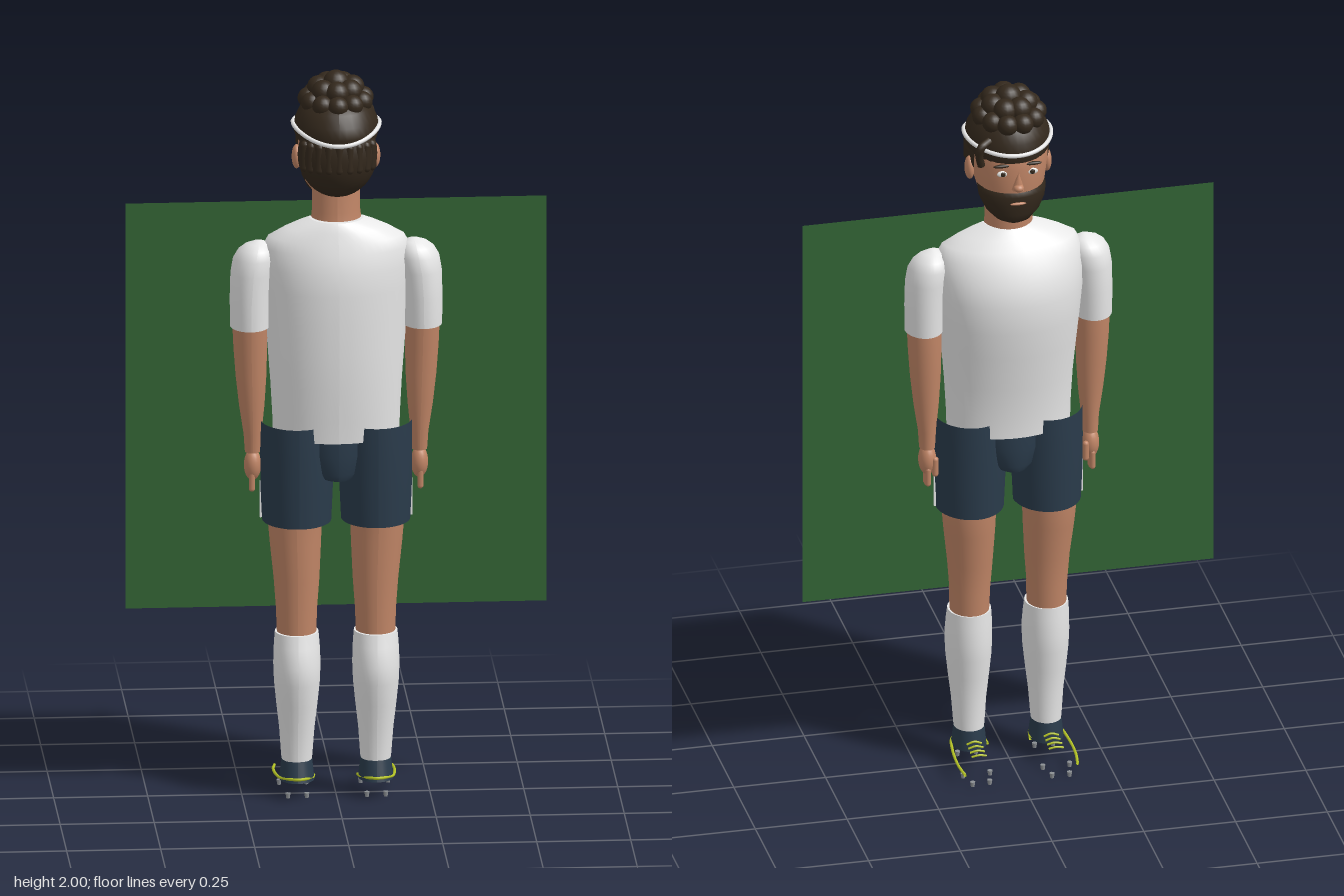
import * as THREE from 'three';

const mat = (name, color, side = THREE.FrontSide) => {
  const m = new THREE.MeshStandardMaterial({ color, side });
  m.name = name;
  return m;
};
const M = {
  skin: mat('skin', 0xc08566),
  hair: mat('dark hair', 0x33281c),
  cloth: mat('white cloth', 0xececec, THREE.DoubleSide),
  navy: mat('navy cloth', 0x2a3b4b, THREE.DoubleSide),
  lime: mat('lime trim', 0xb4c326, THREE.DoubleSide),
  metal: mat('grey studs', 0x8c9094),
  board: mat('green panel', 0x336535, THREE.DoubleSide),
  eye: mat('eye white', 0xf4f4f0),
};

function add(parent, name, geo, material, x = 0, y = 0, z = 0) {
  const m = new THREE.Mesh(geo, material);
  m.name = name;
  m.position.set(x, y, z);
  parent.add(m);
  return m;
}

// Elliptical loft through rings [y, cx, cz, rx, rz], listed bottom to top
function loft(rings, caps = true, seg = 36) {
  const pos = [], idx = [];
  for (const [y, cx, cz, rx, rz] of rings)
    for (let i = 0; i <= seg; i++) {
      const a = (i / seg) * Math.PI * 2;
      pos.push(cx + Math.sin(a) * rx, y, cz + Math.cos(a) * rz);
    }
  const row = seg + 1;
  for (let r = 0; r < rings.length - 1; r++)
    for (let i = 0; i < seg; i++) {
      const a = r * row + i, b = a + row;
      idx.push(a, a + 1, b, a + 1, b + 1, b);
    }
  if (caps)
    for (const top of [false, true]) {
      const [y, cx, cz, rx, rz] = rings[top ? rings.length - 1 : 0];
      const c = pos.length / 3;
      pos.push(cx, y, cz);
      for (let i = 0; i <= seg; i++) {
        const a = (i / seg) * Math.PI * 2;
        pos.push(cx + Math.sin(a) * rx, y, cz + Math.cos(a) * rz);
      }
      for (let i = 1; i <= seg; i++) top ? idx.push(c, c + i, c + i + 1) : idx.push(c, c + i + 1, c + i);
    }
  const g = new THREE.BufferGeometry();
  g.setAttribute('position', new THREE.Float32BufferAttribute(pos, 3));
  g.setIndex(idx);
  g.computeVertexNormals();
  return g;
}

const ball = (rx, ry = rx, rz = rx, n = 20) => new THREE.SphereGeometry(1, n, Math.ceil(n * 0.7)).scale(rx, ry, rz);
const tube = (pts, r, closed = false, n = 40) =>
  new THREE.TubeGeometry(new THREE.CatmullRomCurve3(pts.map(p => new THREE.Vector3(...p)), closed), n, r, 8, closed);

// Arm on side s (+1 or -1)
function arm(s) {
  const g = new THREE.Group();
  g.name = s > 0 ? 'leftArm' : 'rightArm';
  add(g, 'sleeve', loft([
    [1.3, s * 0.23, 0.015, 0.052, 0.066], [1.38, s * 0.229, 0.015, 0.054, 0.07],
    [1.45, s * 0.224, 0.014, 0.057, 0.072], [1.49, s * 0.217, 0.013, 0.057, 0.069],
    [1.515, s * 0.212, 0.013, 0.047, 0.057], [1.53, s * 0.208, 0.013, 0.03, 0.036],
    [1.537, s * 0.206, 0.013, 0.005, 0.006]]), M.cloth);
  add(g, 'forearm', loft([
    [0.95, s * 0.222, 0.006, 0.021, 0.025], [1.0, s * 0.222, 0.008, 0.024, 0.029],
    [1.08, s * 0.224, 0.01, 0.034, 0.038], [1.16, s * 0.226, 0.01, 0.041, 0.044],
    [1.24, s * 0.228, 0.01, 0.045, 0.05], [1.31, s * 0.229, 0.012, 0.047, 0.054]]), M.skin);
  add(g, 'palm', ball(0.024, 0.045, 0.03), M.skin, s * 0.222, 0.915, 0.005);
  for (let i = 0; i < 4; i++)
    add(g, 'finger', new THREE.CapsuleGeometry(0.008, 0.04, 4, 8), M.skin, s * 0.224, 0.865 + Math.abs(i - 1.5) * 0.004, -0.016 + i * 0.013);
  add(g, 'thumb', new THREE.CapsuleGeometry(0.009, 0.04, 4, 8), M.skin, s * 0.205, 0.9, -0.018);
  return g;
}

// Leg with shorts, sock and boot on side s
function leg(s) {
  const g = new THREE.Group();
  g.name = s > 0 ? 'leftLeg' : 'rightLeg';
  const x = s * 0.105;
  add(g, 'shortsLeg', loft([
    [0.765, x, 0.018, 0.092, 0.107], [0.85, x, 0.018, 0.096, 0.109],
    [0.95, x, 0.018, 0.097, 0.112], [1.04, x, 0.018, 0.096, 0.112]], false), M.navy);
  add(g, 'sideStripe', new THREE.BoxGeometry(0.006, 0.1, 0.012), M.cloth, s * 0.2, 0.82, 0.012);
  add(g, 'thigh', loft([
    [0.44, x, 0.014, 0.052, 0.058], [0.52, x, 0.012, 0.055, 0.06], [0.6, x, 0.01, 0.061, 0.066],
    [0.7, s * 0.108, 0.003, 0.069, 0.076], [0.78, s * 0.11, 0.0, 0.074, 0.083],
    [0.92, x, 0.005, 0.078, 0.088]]), M.skin);
  add(g, 'sock', loft([
    [0.05, x, 0.02, 0.036, 0.042], [0.12, x, 0.02, 0.042, 0.045], [0.19, x, 0.023, 0.047, 0.051],
    [0.26, x, 0.025, 0.055, 0.062], [0.32, x, 0.026, 0.061, 0.073], [0.37, x, 0.026, 0.063, 0.077],
    [0.42, x, 0.02, 0.061, 0.069], [0.455, x, 0.016, 0.058, 0.064]]), M.cloth);
  add(g, 'bootCollar', loft([
    [0.048, x, 0.022, 0.047, 0.057], [0.075, x, 0.02, 0.044, 0.052], [0.105, x, 0.018, 0.041, 0.046]], false), M.navy);
  // Lime edge wraps the heel and runs forward on the outside
  add(g, 'bootTrim', tube([
    [s * 0.153, 0.037, -0.145], [s * 0.16, 0.042, -0.09], [s * 0.157, 0.049, -0.01], [s * 0.145, 0.055, 0.045],
    [s * 0.105, 0.061, 0.084], [s * 0.067, 0.055, 0.045], [s * 0.058, 0.05, 0.0]], 0.004), M.lime);
  for (let i = 0; i < 4; i++)
    add(g, 'lace', tube([[s * 0.085, 0.075 - i * 0.003, -0.042 - i * 0.019], [x, 0.083 - i * 0.004, -0.045 - i * 0.019],
      [s * 0.125, 0.075 - i * 0.003, -0.042 - i * 0.019]], 0.003, false, 8), M.lime);
  for (const [sx, sz] of [[0.08, 0.045], [0.13, 0.045], [0.072, -0.085], [0.145, -0.085], [0.085, -0.138], [0.132, -0.14]])
    add(g, 'stud', new THREE.CylinderGeometry(0.007, 0.005, 0.014, 10), M.metal, s * sx, 0.007, sz);
  return g;
}

function head() {
  const g = new THREE.Group();
  g.name = 'head';
  add(g, 'neck', loft([[1.57, 0, 0.02, 0.07, 0.066], [1.62, 0, 0.012, 0.064, 0.062], [1.72, 0, 0.01, 0.064, 0.062]]), M.skin);
  add(g, 'face', loft([
    [1.638, 0, -0.045, 0.03, 0.035], [1.655, 0, -0.035, 0.057, 0.058], [1.69, 0, -0.015, 0.08, 0.083],
    [1.74, 0, -0.002, 0.094, 0.102], [1.8, 0, 0, 0.102, 0.108], [1.86, 0, 0.005, 0.1, 0.106], [1.9, 0, 0.01, 0.08, 0.085]]), M.skin);
  add(g, 'nose', new THREE.ConeGeometry(0.017, 0.055, 12), M.skin, 0, 1.772, -0.108).rotation.x = -0.2;
  add(g, 'noseTip', ball(0.014, 0.011, 0.014), M.skin, 0, 1.752, -0.112);
  // Beard hugs the jaw and rises toward the ears
  const beard = loft([
    [1.632, 0, -0.048, 0.028, 0.03], [1.642, 0, -0.042, 0.05, 0.052], [1.665, 0, -0.033, 0.074, 0.07],
    [1.695, 0, -0.026, 0.089, 0.08], [1.72, 0, -0.026, 0.092, 0.083], [1.732, 0, -0.026, 0.086, 0.077]]);
  const p = beard.attributes.position;
  for (let i = 0; i < p.count; i++) {
    const z = p.getZ(i);
    p.setY(i, p.getY(i) + Math.max(0, z + 0.05) * 0.35);
  }
  beard.computeVertexNormals();
  add(g, 'beard', beard, M.hair);
  add(g, 'mouth', ball(0.022, 0.004, 0.005), M.skin, 0, 1.703, -0.108);
  for (const s of [-1, 1]) {
    add(g, 'ear', ball(0.013, 0.033, 0.022), M.skin, s * 0.105, 1.765, 0.012);
    add(g, 'eyeball', ball(0.016, 0.009, 0.005), M.eye, s * 0.04, 1.792, -0.099);
    add(g, 'pupil', ball(0.007, 0.007, 0.003), M.hair, s * 0.04, 1.792, -0.103);
    add(g, 'eyebrow', ball(0.024, 0.005, 0.006), M.hair, s * 0.042, 1.815, -0.099);
    add(g, 'sideburn', ball(0.014, 0.045, 0.018), M.hair, s * 0.093, 1.815, -0.005);
  }
  // Hair crown, back of the head and nape strands
  add(g, 'hairCrown', loft([
    [1.822, 0, 0.02, 0.107, 0.126], [1.845, 0, 0.02, 0.114, 0.132], [1.875, 0, 0.02, 0.109, 0.126],
    [1.905, 0, 0.016, 0.095, 0.108], [1.93, 0, 0.012, 0.07, 0.08], [1.945, 0, 0.01, 0.03, 0.035]]), M.hair);
  add(g, 'hairBack', ball(0.106, 0.118, 0.083, 28), M.hair, 0, 1.787, 0.068);
  for (let i = -4; i <= 4; i++) {
    const a = i * 0.27;
    add(g, 'strand', new THREE.CapsuleGeometry(0.013, 0.06, 4, 10), M.hair, Math.sin(a) * 0.1, 1.79, 0.062 + Math.cos(a) * 0.077);
  }
  add(g, 'looseLock', tube([[0.07, 1.88, -0.07], [0.095, 1.87, -0.085], [0.1, 1.845, -0.08], [0.092, 1.81, -0.07]], 0.011, false, 16), M.hair);
  // Curly top
  for (const [n, r, y, size] of [[11, 0.074, 1.922, 0.028], [7, 0.046, 1.95, 0.032], [1, 0, 1.965, 0.035]])
    for (let i = 0; i < n; i++) {
      const a = (i / n) * Math.PI * 2;
      add(g, 'curl', ball(size, size, size, 16), M.hair, Math.sin(a) * r, y, 0.008 + Math.cos(a) * r * 1.15);
    }
  // Headband dips at the back
  const band = [];
  for (let i = 0; i < 24; i++) {
    const a = (i / 24) * Math.PI * 2, c = Math.cos(a);
    band.push([Math.sin(a) * 0.115, 1.86 - (c > 0 ? 0.03 : 0.012) * c * c, 0.02 + c * 0.133]);
  }
  add(g, 'headband', tube(band, 0.006, true, 72), M.cloth);
  return g;
}

export function createModel() {
  const g = new THREE.Group();
  g.name = 'standingPlayer';
  add(g, 'panel', new THREE.PlaneGeometry(1.12, 1.12), M.board, 0, 1.083, 0.012);
  add(g, 'shirt', loft([
    [1.0, 0, 0.015, 0.168, 0.113], [1.06, 0, 0.016, 0.17, 0.116], [1.15, 0, 0.014, 0.175, 0.127],
    [1.25, 0, 0.007, 0.183, 0.138], [1.33, 0, 0.001, 0.19, 0.145], [1.41, 0, -0.002, 0.197, 0.148],
    [1.47, 0, 0.003, 0.2, 0.139], [1.52, 0, 0.008, 0.197, 0.12], [1.55, 0, 0.013, 0.18, 0.104],
    [1.575, 0, 0.018, 0.135, 0.09], [1.592, 0, 0.022, 0.095, 0.078], [1.6, 0, 0.024, 0.072, 0.07]], true, 48), M.cloth);
  add(g, 'shortsSeat', loft([
    [0.892, 0, 0.015, 0.055, 0.1], [0.91, 0, 0.015, 0.075, 0.107],
    [0.96, 0, 0.015, 0.098, 0.111], [1.02, 0, 0.015, 0.105, 0.109]]), M.navy);
  for (const s of [-1, 1]) g.add(arm(s), leg(s));
  g.add(head());
  return g;
}
